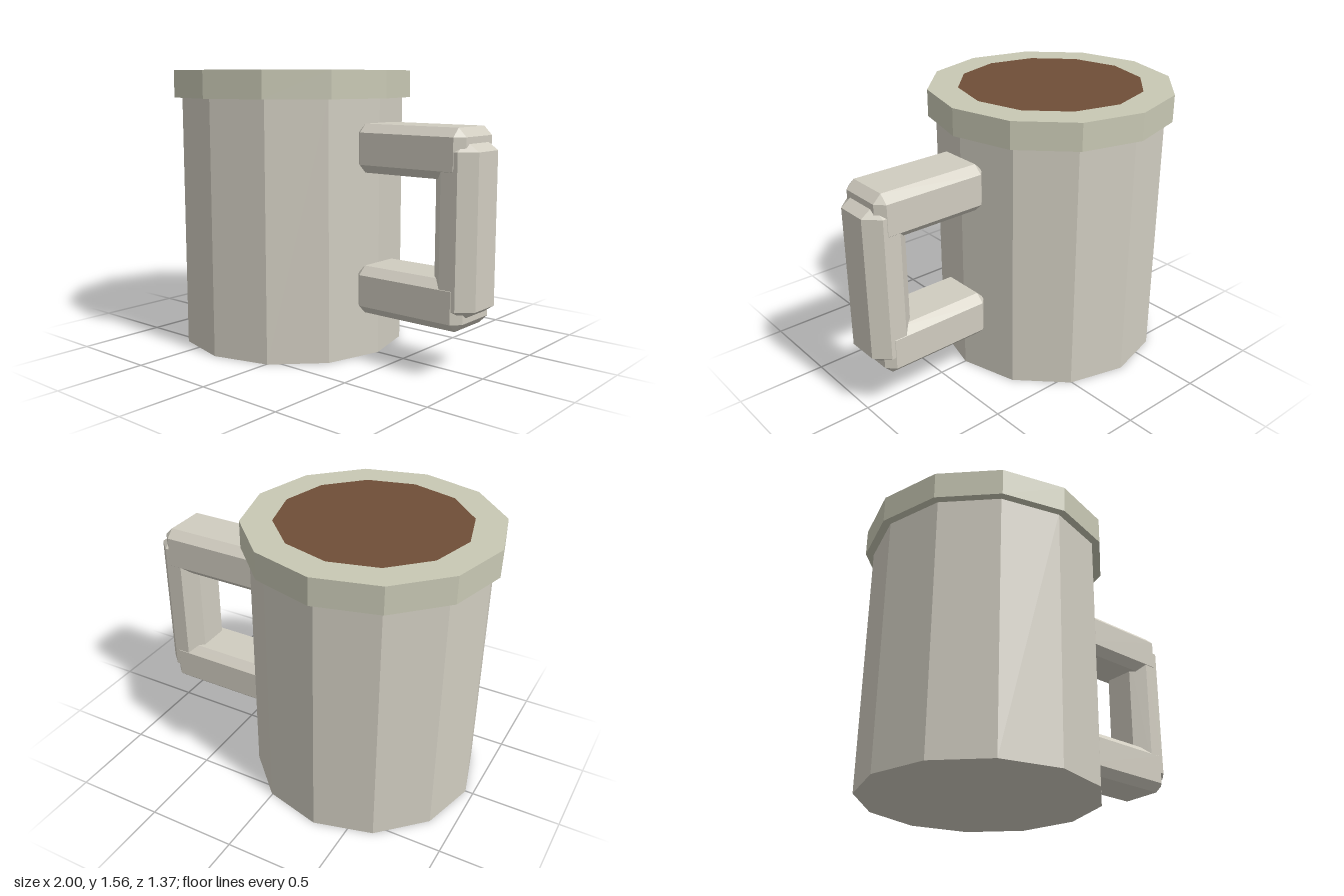
import * as THREE from 'three';
import { ConvexGeometry } from 'three/addons/geometries/ConvexGeometry.js';

const SIDES = 12;
const CENTER_X = -0.315;

function material(color) {
  return new THREE.MeshStandardMaterial({ color, flatShading: true });
}

// Box between two corners, with every edge cut back by the chamfer on each axis
function chamferBox(min, max, chamfer) {
  const points = [];
  for (let fullAxis = 0; fullAxis < 3; fullAxis++) {
    for (let corner = 0; corner < 8; corner++) {
      const p = [0, 1, 2].map((axis) => {
        const inset = axis === fullAxis ? 0 : chamfer[axis];
        return (corner >> axis) & 1 ? max[axis] - inset : min[axis] + inset;
      });
      points.push(new THREE.Vector3(...p));
    }
  }
  return new ConvexGeometry(points);
}

export function createModel() {
  const model = new THREE.Group();
  model.name = 'mug';

  function add(name, geometry, mat, parent = model) {
    const mesh = new THREE.Mesh(geometry, mat);
    mesh.name = name;
    parent.add(mesh);
    return mesh;
  }

  // Twelve-sided drum standing between two heights
  function drum(name, radius, bottom, top, mat) {
    const geometry = new THREE.CylinderGeometry(radius, radius, top - bottom, SIDES);
    add(name, geometry, mat).position.set(CENTER_X, (top + bottom) / 2, 0);
  }

  const clay = material(0xd0ccc0);
  drum('body', 0.641, 0, 1.42, clay);
  drum('rim', 0.685, 1.41, 1.56, material(0xc8c8b4));

  // Drink surface, just clear of the rim's top
  const drink = add('drink', new THREE.CircleGeometry(0.517, SIDES), material(0x6f4e37));
  drink.rotation.x = -Math.PI / 2;
  drink.position.set(CENTER_X, 1.562, 0);

  // Handle: two chamfered arms joined by an upright grip
  const handle = new THREE.Group();
  handle.name = 'handle';
  model.add(handle);
  const arms = { upperArm: 1.15, lowerArm: 0.385 };
  for (const [name, y] of Object.entries(arms)) {
    add(name, chamferBox([0.28, y - 0.13, -0.167], [0.945, y + 0.13, 0.167], [0.045, 0.045, 0.047]), clay, handle);
  }
  add('grip', chamferBox([0.755, 0.315, -0.165], [1, 1.215, 0.165], [0.075, 0.052, 0.075]), clay, handle);

  return model;
}
